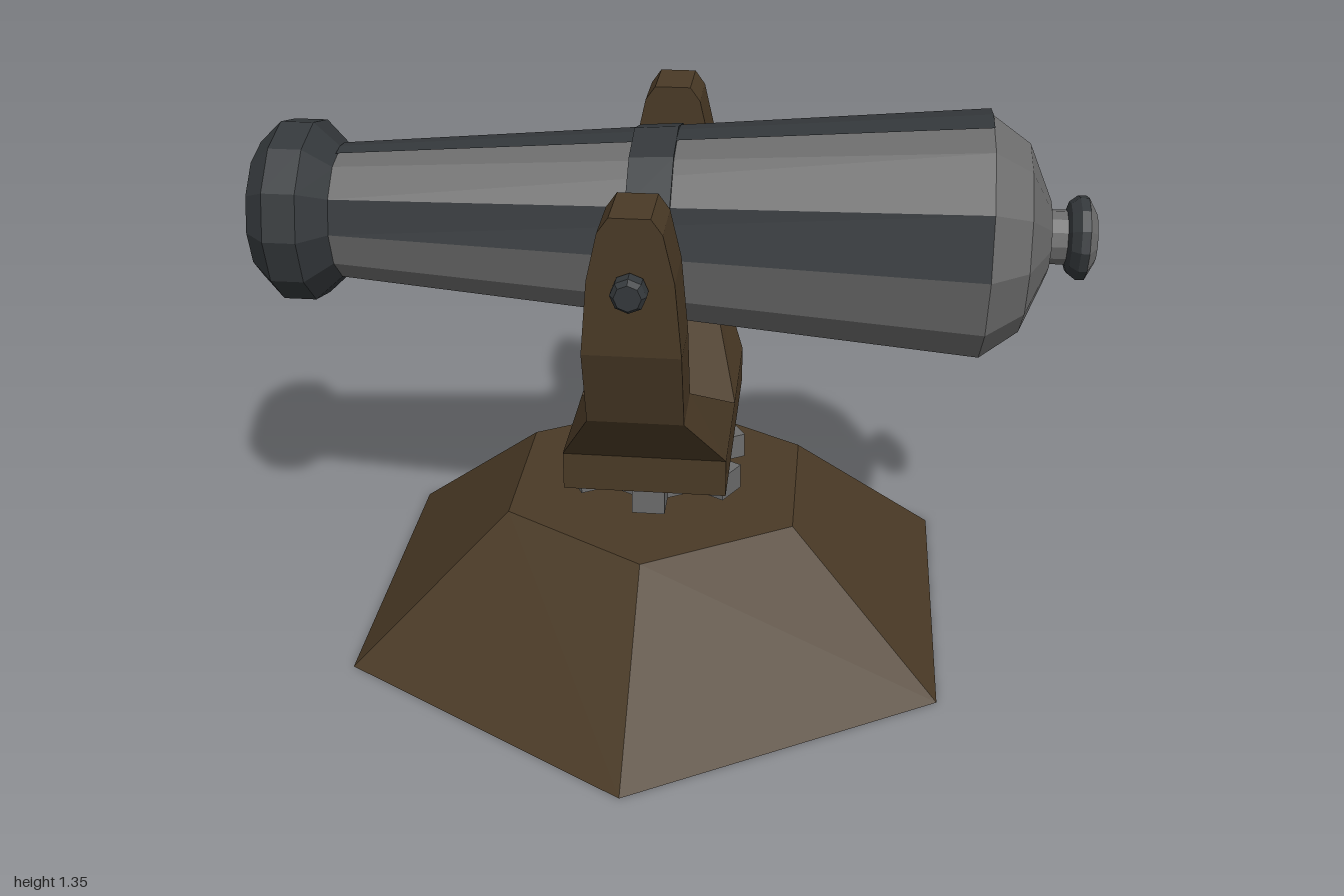
import * as THREE from 'three';

const CX = -0.04;      // pivot position along the barrel
const AXIS_Y = 1.058;  // height of the barrel axis
const PIN_Y = 1.115;   // height of the pivot pin

const mat = (color) => new THREE.MeshStandardMaterial({ color, flatShading: true, side: THREE.DoubleSide });
const wood = mat(0x4a3a26), iron = mat(0x6c6c6c), dark = mat(0x34383b);

function add(parent, name, geometry, material, x = 0, y = 0, z = 0) {
  const mesh = new THREE.Mesh(geometry, material);
  mesh.name = name;
  mesh.position.set(x, y, z);
  parent.add(mesh);
  return mesh;
}

// Lathe around y from [radius, height] pairs; angles in degrees
function lathe(profile, segments, from = 0, sweep = 360) {
  const rad = THREE.MathUtils.degToRad;
  return new THREE.LatheGeometry(profile.map(([r, h]) => new THREE.Vector2(r, h)), segments, rad(from), rad(sweep));
}

// Yoke: a strip of four-cornered sections running from one arm tip to the other
function yokeGeometry() {
  // [outer z, outer y, inner z, inner y, half width in x]
  const half = [
    [0, 0.485, 0, 0.575, 0.195],
    [0.305, 0.485, 0, 0.575, 0.195],
    [0.305, 0.58, 0, 0.575, 0.195],
    [0.465, 0.76, 0.32, 0.765, 0.11],
    [0.525, 0.955, 0.375, 0.955, 0.11],
    [0.525, 1.13, 0.375, 1.13, 0.095],
    [0.525, 1.24, 0.375, 1.24, 0.07],
    [0.525, 1.275, 0.375, 1.275, 0.045],
  ];
  const mirrored = half.slice(1).reverse().map(([oz, oy, iz, iy, w]) => [-oz, oy, -iz, iy, w]);
  const rings = [...mirrored, ...half].map(([oz, oy, iz, iy, w]) =>
    [[-w, oy, oz], [w, oy, oz], [w, iy, iz], [-w, iy, iz]]);
  const pos = [];
  const quad = (a, b, c, d) => pos.push(...a, ...b, ...c, ...a, ...c, ...d);
  for (let i = 0; i + 1 < rings.length; i++) {
    for (let k = 0; k < 4; k++) {
      const n = (k + 1) % 4;
      quad(rings[i][k], rings[i][n], rings[i + 1][n], rings[i + 1][k]);
    }
  }
  const last = rings[rings.length - 1];
  quad(...rings[0].slice().reverse());
  quad(...last);
  const g = new THREE.BufferGeometry();
  g.setAttribute('position', new THREE.Float32BufferAttribute(pos, 3));
  g.computeVertexNormals();
  return g;
}

// Toothed wheel outline with six square teeth
function gearGeometry() {
  const shape = new THREE.Shape();
  const hub = 0.15, tip = 0.228, w = 0.04;
  for (let i = 0; i < 6; i++) {
    const a = Math.PI / 2 + i * Math.PI / 3;
    const c = Math.cos(a), s = Math.sin(a);
    for (const [r, t] of [[hub, -w], [tip, -w], [tip, w], [hub, w]]) {
      const x = r * c - t * s, y = r * s + t * c;
      if (i === 0 && r === hub && t < 0) shape.moveTo(x, y);
      else shape.lineTo(x, y);
    }
  }
  shape.closePath();
  const g = new THREE.ExtrudeGeometry(shape, { depth: 0.065, bevelEnabled: false });
  return g.rotateX(-Math.PI / 2);
}

function barrel() {
  const group = new THREE.Group();
  group.name = 'barrel';
  const tube = [[0.163, -0.805], [0.293, 0.735]];

  // Tapered body in light panels with darker side panels
  add(group, 'bodyUpper', lathe(tube, 4, -150, 120), iron);
  add(group, 'bodyLower', lathe(tube, 6, 0, 180), iron);
  add(group, 'sidePanelFront', lathe(tube, 1, -30, 30), dark);
  add(group, 'sidePanelBack', lathe(tube, 1, 180, 30), dark);
  const ridge = tube.map(([r, h]) => [r + 0.002, h]);
  add(group, 'topStrip', lathe(ridge, 2, -104, 28), dark);

  // Rounded breech and its end knob
  add(group, 'breech', lathe([[0.293, 0.735], [0.228, 0.825], [0.09, 0.885], [0, 0.885]], 12), iron);
  add(group, 'knobNeck', lathe([[0.065, 0.88], [0.065, 0.935]], 12), iron);
  add(group, 'knobRim', lathe([[0.065, 0.925], [0.085, 0.932], [0.1, 0.952], [0.1, 0.972]], 12), dark);
  add(group, 'knobEnd', lathe([[0.1, 0.972], [0.06, 0.994], [0, 1.0]], 12), iron);

  // Flared muzzle and hollow bore
  add(group, 'muzzleRing', lathe([[0.15, -1], [0.168, -1], [0.222, -0.945], [0.222, -0.865], [0.16, -0.8]], 12), dark);
  add(group, 'bore', lathe([[0.15, -1], [0.14, -0.7], [0, -0.7]], 12), iron);

  // Band around the middle
  add(group, 'band', lathe([[0.22, CX - 0.052], [0.235, CX - 0.052], [0.242, CX + 0.052], [0.225, CX + 0.052]], 12), dark);

  group.rotation.z = -Math.PI / 2;
  group.position.y = AXIS_Y;
  return group;
}

export function createModel() {
  const model = new THREE.Group();
  model.name = 'swivelCannon';

  // Hollow six-sided base, turning post and gear
  add(model, 'base', lathe([[0.835, 0], [0.41, 0.347], [0, 0.347]], 6), wood, CX);
  add(model, 'post', new THREE.CylinderGeometry(0.053, 0.053, 0.15, 6), iron, CX, 0.417);
  add(model, 'gear', gearGeometry(), iron, CX, 0.377);

  add(model, 'yoke', yokeGeometry(), wood, CX);
  model.add(barrel());

  // Pivot pin with collars against the barrel and nuts outside the arms
  add(model, 'pivotPin', new THREE.CylinderGeometry(0.035, 0.035, 1.12, 8), iron, CX, PIN_Y).rotation.x = Math.PI / 2;
  for (const side of [1, -1]) {
    const half = new THREE.Group();
    half.name = side > 0 ? 'frontPivot' : 'backPivot';
    half.position.set(CX, PIN_Y, 0);
    half.rotation.x = side * Math.PI / 2;
    add(half, 'collar', lathe([[0.052, 0.19], [0.077, 0.262], [0.068, 0.275], [0, 0.275]], 8), dark);
    add(half, 'nut', lathe([[0.034, 0.52], [0.04, 0.53], [0.04, 0.562], [0.03, 0.575], [0, 0.575]], 8), dark);
    model.add(half);
  }
  return model;
}
